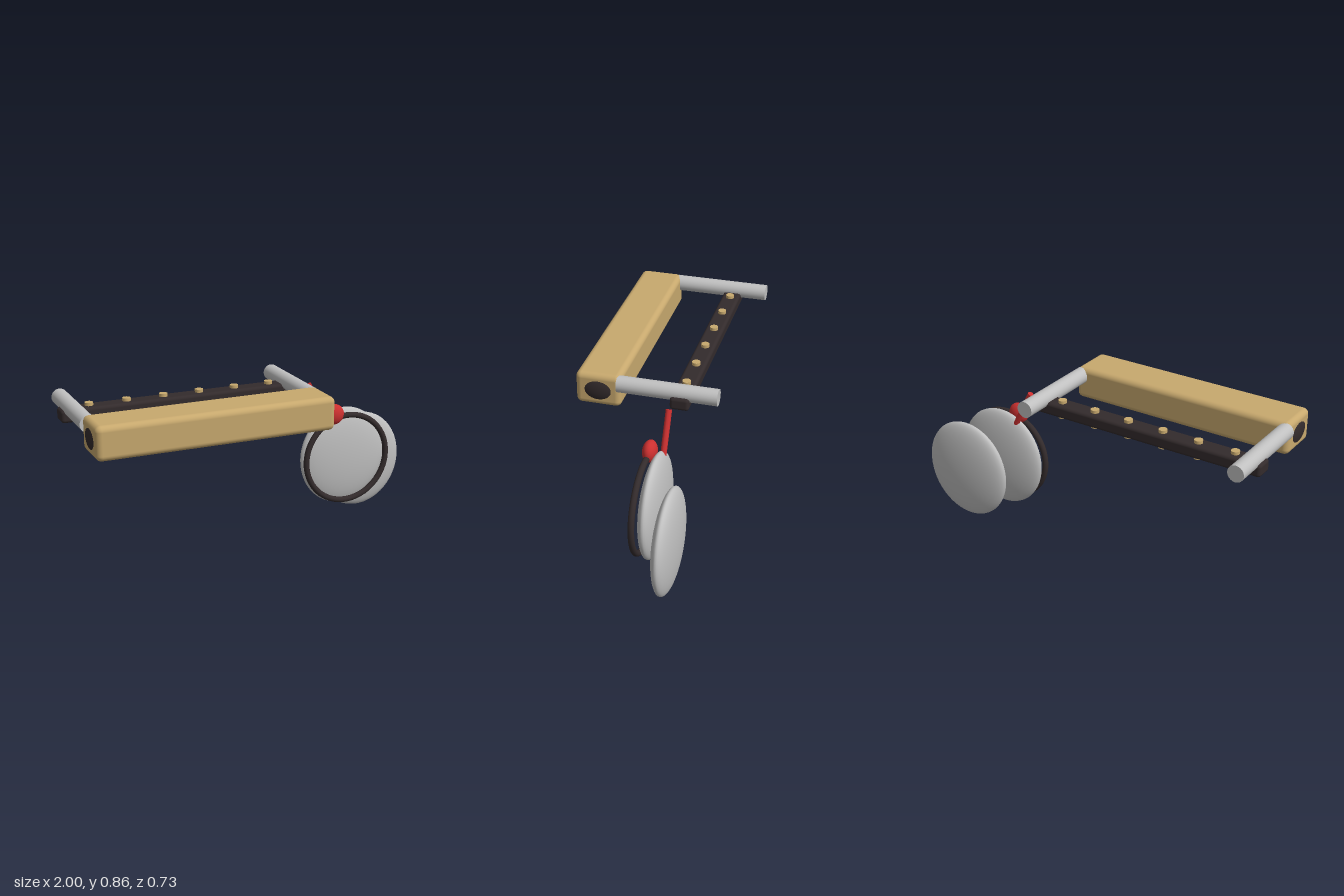
import * as THREE from 'three';
import { RoundedBoxGeometry } from 'three/addons/geometries/RoundedBoxGeometry.js';

const paint = (name, color) => {
  const m = new THREE.MeshStandardMaterial({ color });
  m.name = name;
  return m;
};

export function createModel() {
  const model = new THREE.Group();
  const wood = paint('tan wood', 0xc8a96e);
  const dark = paint('dark rubber', 0x332b2c);
  const metal = paint('light metal', 0xc0c0c0);
  const red = paint('red', 0xcc3030);

  const add = (name, geometry, material, x, y, z) => {
    const mesh = new THREE.Mesh(geometry, material);
    mesh.name = name;
    mesh.position.set(x, y, z);
    model.add(mesh);
    return mesh;
  };
  const ellipsoid = (name, material, rx, ry, rz, x, y, z) =>
    add(name, new THREE.SphereGeometry(1, 40, 28), material, x, y, z).scale.set(rx, ry, rz);

  const midX = -0.347;

  // Long wooden beam with domed end caps
  add('beam', new RoundedBoxGeometry(1.245, 0.175, 0.235, 4, 0.03), wood, midX, 0.775, 0.247);
  for (const s of [-1, 1]) {
    ellipsoid('beamEndCap', dark, 0.03, 0.07, 0.094, midX + s * 0.602, 0.775, 0.247);
  }

  // Two side tubes running back from the beam
  for (const s of [-1, 1]) {
    const tube = add('sideTube', new THREE.CylinderGeometry(0.043, 0.043, 0.514, 32), metal,
      midX + s * 0.596, 0.815, -0.108);
    tube.rotation.x = Math.PI / 2;
  }

  // Rear rail with a row of pegs passing through it
  add('rail', new RoundedBoxGeometry(1.304, 0.068, 0.098, 4, 0.017), dark, midX, 0.775, -0.178);
  for (let i = 0; i < 6; i++) {
    add('peg', new THREE.CylinderGeometry(0.022, 0.022, 0.1, 16), wood,
      -0.843 + i * 0.198, 0.775, -0.178);
  }

  // Two flattened discs and the ring in front of them
  ellipsoid('frontDisc', metal, 0.257, 0.277, 0.058, 0.583, 0.3585, -0.138);
  ellipsoid('rearDisc', metal, 0.257, 0.277, 0.058, 0.743, 0.279, -0.247);
  add('ring', new THREE.TorusGeometry(0.246, 0.016, 14, 64), dark, 0.583, 0.358, -0.084);

  // Red knob and slanted stick
  ellipsoid('knob', red, 0.057, 0.057, 0.037, 0.502, 0.617, -0.087);
  const top = new THREE.Vector3(0.373, 0.786, -0.147);
  const bottom = new THREE.Vector3(0.476, 0.585, -0.147);
  const mid = top.clone().add(bottom).multiplyScalar(0.5);
  const stick = add('stick', new THREE.CylinderGeometry(0.016, 0.016, top.distanceTo(bottom), 8), red,
    mid.x, mid.y, mid.z);
  stick.quaternion.setFromUnitVectors(new THREE.Vector3(0, 1, 0), top.clone().sub(bottom).normalize());

  return model;
}
